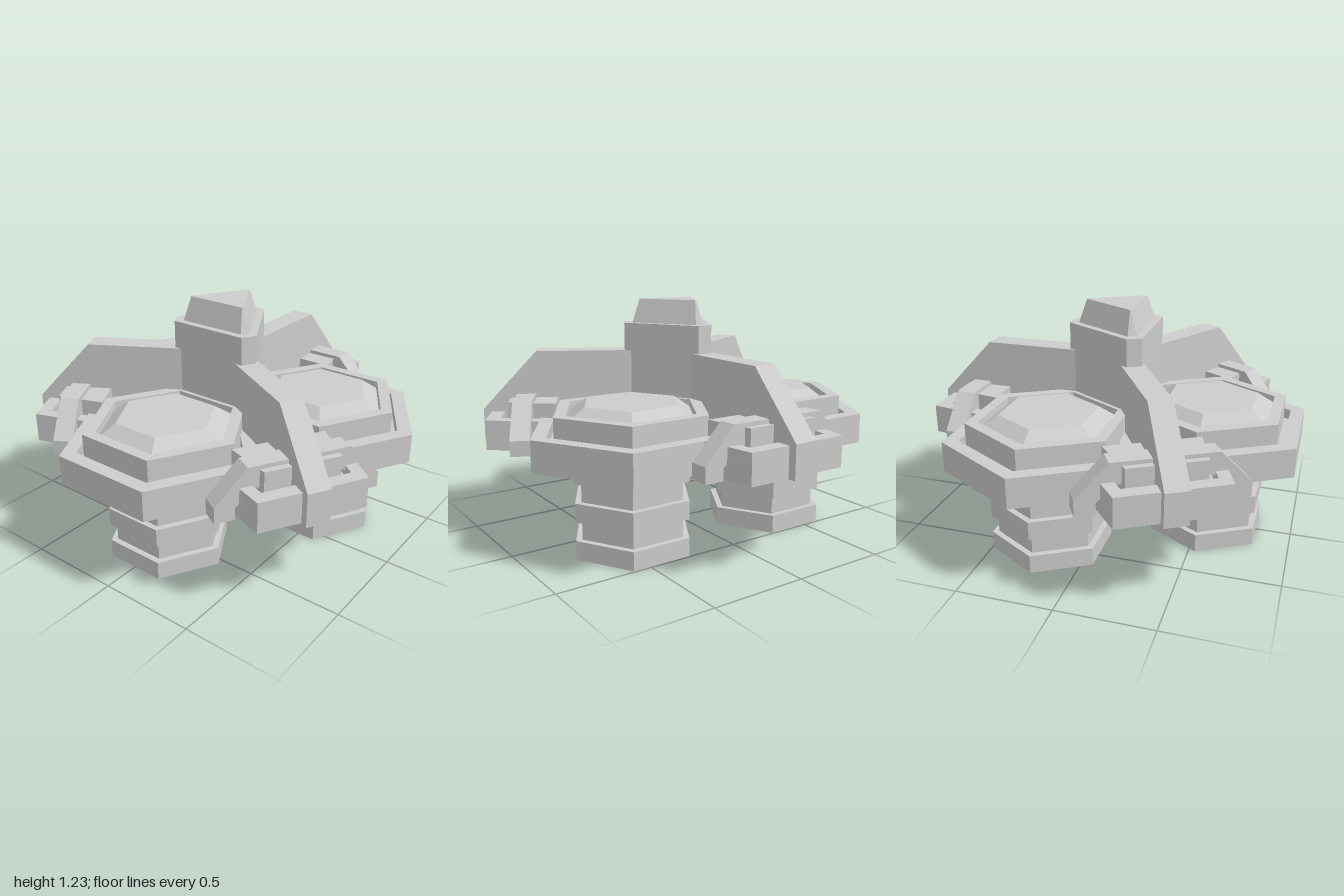
import * as THREE from 'three';
import { ConvexGeometry } from 'three/addons/geometries/ConvexGeometry.js';

const material = new THREE.MeshStandardMaterial({ color: 0xcccccc, flatShading: true, side: THREE.DoubleSide });
const vec2 = (points) => points.map(([x, y]) => new THREE.Vector2(x, y));

function part(name, geometry, parent) {
  const mesh = new THREE.Mesh(geometry, material);
  mesh.name = name;
  parent.add(mesh);
  return mesh;
}

// Upright prism over an outline given as (across, distance towards the back)
function prism(outline, bottom, top) {
  const geo = new THREE.ExtrudeGeometry(new THREE.Shape(vec2(outline)), { depth: top - bottom, bevelEnabled: false });
  return geo.rotateX(-Math.PI / 2).translate(0, bottom, 0);
}

// Half outline mirrored across the centre line
const mirrored = (half) => [...half, ...half.map(([x, y]) => [-x, y]).reverse()];

// Triangle with cut corners: distances from the axis to the long and the short sides
function cutTriangle(long, short, y) {
  const half = (short - long / 2) / Math.sin(Math.PI / 3);
  const points = [];
  for (let k = 0; k < 3; k++) {
    for (const s of [-half, half]) {
      points.push(new THREE.Vector3(s, y, long).applyAxisAngle(new THREE.Vector3(0, 1, 0), k * Math.PI * 2 / 3));
    }
  }
  return points;
}

// Hollow ribbed leg, wide collar with groove, raised tier and sunken dome, as one hexagonal turning
function hexTower() {
  const profile = [];
  const rib = 0.48 / 5;
  for (let i = 0; i < 5; i++) {
    const r = i % 2 ? 0.285 : 0.32;
    profile.push([r, i * rib], [r, (i + 1) * rib]);
  }
  profile.push(
    [0.537, 0.48], [0.537, 0.635], [0.456, 0.635], [0.456, 0.58], [0.42, 0.58],
    [0.42, 0.725], [0.355, 0.725], [0.352, 0.69], [0.255, 0.755], [0, 0.755]
  );
  return new THREE.LatheGeometry(vec2(profile), 6, Math.PI / 6).toNonIndexed();
}

// Fin with the platform and clamp arm that cross it, pointing to the back
function finAssembly() {
  const group = new THREE.Group();
  group.name = 'finAssembly';

  // Sloped fin
  const side = new THREE.Shape(vec2([[0.1, 0.48], [1.034, 0.48], [1.034, 0.65], [0.744, 0.96], [0.1, 0.96]]));
  const fin = new THREE.ExtrudeGeometry(side, { depth: 0.12, bevelEnabled: false });
  part('fin', fin.translate(0, 0, -0.06).rotateY(Math.PI / 2), group);

  // Platform: base, rim and raised tier inside the groove
  part('platformBase', prism(mirrored([[0.335, 0.66], [0.275, 0.991]]), 0.48, 0.58), group);
  part('platformRim', prism(mirrored([[0.265, 0.65], [0.335, 0.65], [0.275, 0.991]])
    .slice(0, 3).concat([[-0.275, 0.991], [-0.335, 0.65], [-0.265, 0.65], [-0.225, 0.92], [0.225, 0.92]]), 0.58, 0.635), group);
  part('platformTier', prism(mirrored([[0.245, 0.634], [0.195, 0.885]]), 0.58, 0.71), group);
  part('infill', prism(mirrored([[0.05, 0.25], [0.2, 0.72]]), 0.48, 0.635), group);

  // Bent clamp arm
  const bent = new THREE.Shape(vec2(mirrored([
    [0.22, 0.62], [0.32, 0.54], [0.32, 0.48], [0.42, 0.48], [0.42, 0.56], [0.26, 0.73]
  ])));
  const arm = new THREE.ExtrudeGeometry(bent, { depth: 0.1, bevelEnabled: false });
  part('clampArm', arm.translate(0, 0, -0.852), group);
  return group;
}

export function createModel() {
  const model = new THREE.Group();
  model.name = 'threeTowerBuilding';
  const core = new THREE.Group();
  core.name = 'core';
  core.position.z = 0.034;
  model.add(core);

  // Three towers alternate with three fins around the axis
  for (let k = 0; k < 3; k++) {
    const turn = k * Math.PI * 2 / 3;
    part('tower', hexTower(), core).position.set(Math.sin(turn) * 0.5, 0, Math.cos(turn) * 0.5);
    const fin = finAssembly();
    fin.rotation.y = turn;
    core.add(fin);
  }

  // Central column and its tapered cap
  part('centralColumn', new ConvexGeometry([...cutTriangle(0.172, 0.274, 0.48), ...cutTriangle(0.172, 0.274, 1.105)]), core);
  part('columnCap', new ConvexGeometry([...cutTriangle(0.135, 0.228, 1.105), ...cutTriangle(0.097, 0.19, 1.23)]), core);
  return model;
}
